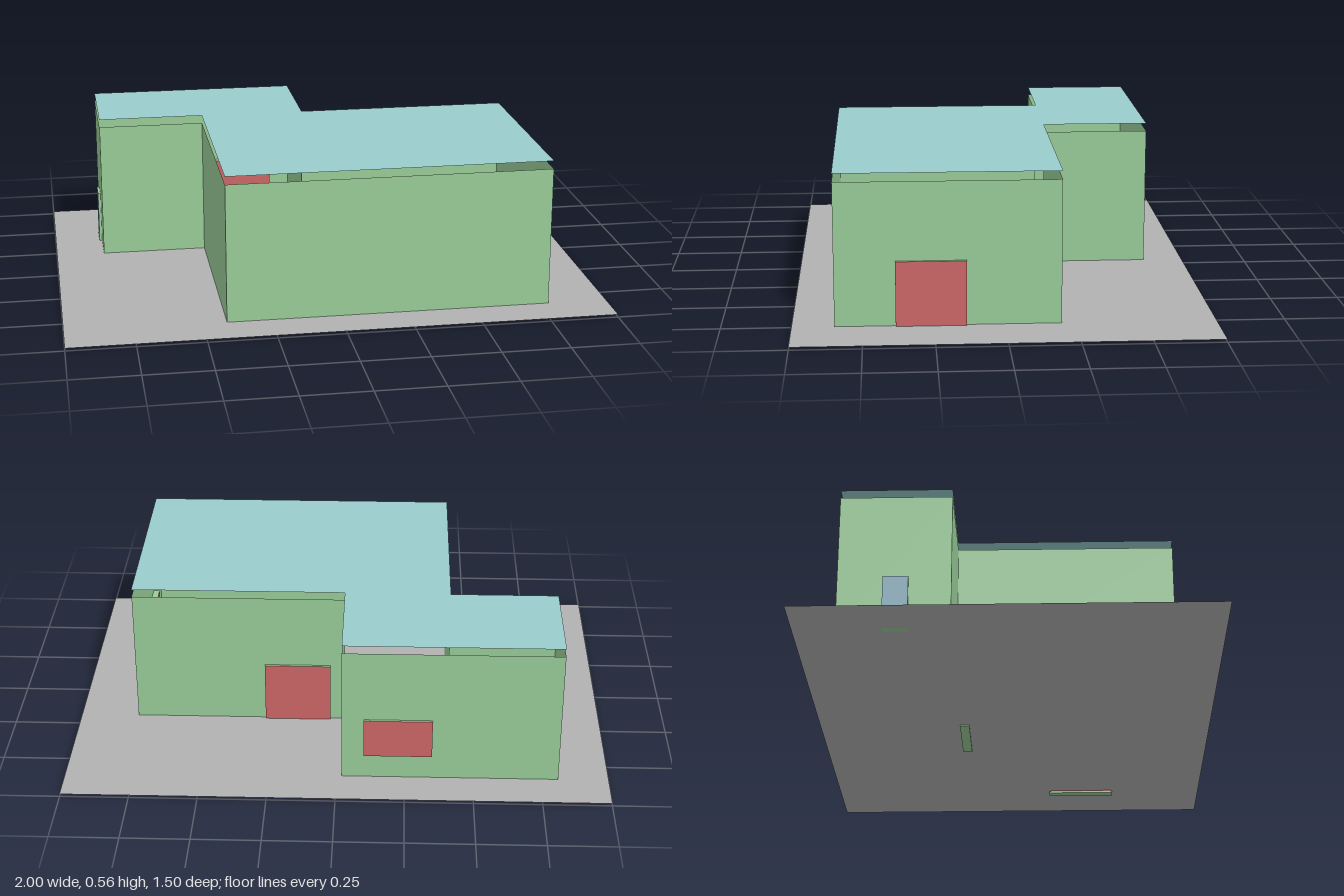
import * as THREE from 'three';

const FLOOR = 0.01, WALL_TOP = 0.53, ROOF = 0.56;

const paint = (color) => new THREE.MeshStandardMaterial({ color, side: THREE.DoubleSide });

// Building outline as [x, z], counter-clockwise seen from above
const OUTLINE = [
  [-0.415, 0.6], [0.78, 0.6], [0.78, -0.2], [-0.02, -0.2],
  [-0.02, -0.6], [-0.815, -0.6], [-0.815, -0.2], [-0.415, -0.2],
];

export function createModel() {
  const model = new THREE.Group();
  model.name = 'house';
  const green = paint(0x98cc98), red = paint(0xcc6666);
  const teal = paint(0x99cccc), blue = paint(0x88b0c0), grey = paint(0xb2b2b2);

  const add = (name, geometry, material, x = 0, y = 0, z = 0, parent = model) => {
    const mesh = new THREE.Mesh(geometry, material);
    mesh.name = name;
    mesh.position.set(x, y, z);
    parent.add(mesh);
    return mesh;
  };

  // Flat ground sheet
  add('ground', new THREE.PlaneGeometry(2, 1.5).rotateX(-Math.PI / 2), grey, 0, FLOOR, 0);

  // Thin walls, one along each side of the outline
  OUTLINE.forEach(([x0, z0], i) => {
    const [x1, z1] = OUTLINE[(i + 1) % OUTLINE.length];
    const wall = add('wall', new THREE.PlaneGeometry(Math.hypot(x1 - x0, z1 - z0), WALL_TOP - FLOOR),
      green, (x0 + x1) / 2, (FLOOR + WALL_TOP) / 2, (z0 + z1) / 2);
    wall.rotation.y = Math.atan2(z0 - z1, x1 - x0);
  });

  // Thin roof sheet floating a little above the walls
  const roofShape = new THREE.Shape(OUTLINE.map(([x, z]) => new THREE.Vector2(x, -z)));
  add('roof', new THREE.ShapeGeometry(roofShape).rotateX(-Math.PI / 2), teal, 0, ROOF, 0);

  // Panel set through a wall: coloured faces inside and out, green edges
  const opening = (name, x, z, angle, width, y0, y1, panel, sill) => {
    const group = new THREE.Group();
    group.name = name;
    group.position.set(x, 0, z);
    group.rotation.y = angle;
    model.add(group);
    add(name + 'Panel', new THREE.BoxGeometry(width, y1 - y0, 0.034),
      [green, green, green, green, panel, panel], 0, (y0 + y1) / 2, -0.007, group);
    if (sill) {
      add(name + 'Sill', new THREE.BoxGeometry(width + 0.012, 0.006, 0.036), green, 0, 0.003, -0.007, group);
    }
  };
  opening('rightDoor', 0.78, 0.26, Math.PI / 2, 0.25, 0.004, 0.245, red, true);
  opening('backDoor', 0.16, -0.2, Math.PI, 0.25, 0.004, 0.245, red, true);
  opening('backWindow', -0.225, -0.6, Math.PI, 0.25, 0.105, 0.255, red, false);
  opening('sideDoor', -0.815, -0.395, -Math.PI / 2, 0.09, FLOOR, 0.21, blue, false);

  return model;
}
